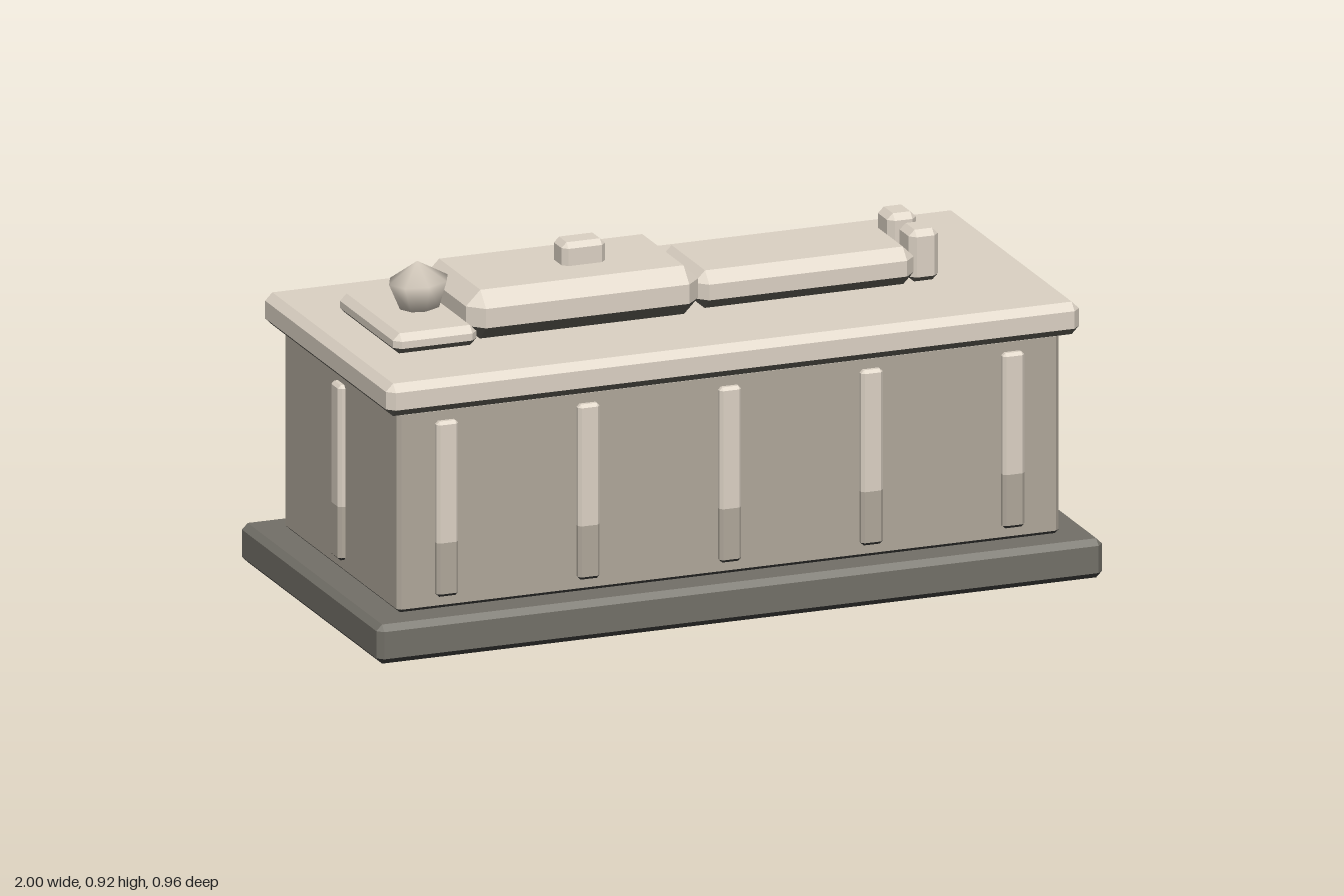
import * as THREE from 'three';
import { ConvexGeometry } from 'three/addons/geometries/ConvexGeometry.js';

const paleStone = new THREE.MeshStandardMaterial({ name: 'paleStone', color: 0xdcd2c4 });
const wallStone = new THREE.MeshStandardMaterial({ name: 'wallStone', color: 0xb0a89b });
const darkStone = new THREE.MeshStandardMaterial({ name: 'darkStone', color: 0x737068 });
const undersideStone = new THREE.MeshStandardMaterial({ name: 'undersideStone', color: 0x66645c });
const groundStone = new THREE.MeshStandardMaterial({ name: 'groundStone', color: 0x434341 });

// Box with chamfered edges, given as [min, max] per axis; either y end may stay square.
// Faces that point down take the second material.
function chamferBox(name, materials, [x0, x1], [y0, y1], [z0, z1], b, topCut = true, bottomCut = true) {
  const points = [];
  for (const [x, sx] of [[x0, 1], [x1, -1]]) {
    for (const [z, sz] of [[z0, 1], [z1, -1]]) {
      for (const [y, sy, cut] of [[y0, 1, bottomCut], [y1, -1, topCut]]) {
        const ySide = cut ? y + sy * b : y;
        points.push(new THREE.Vector3(x, ySide, z + sz * b));
        points.push(new THREE.Vector3(x + sx * b, ySide, z));
        if (cut) points.push(new THREE.Vector3(x + sx * b, y, z + sz * b));
      }
    }
  }
  const geometry = new ConvexGeometry(points);
  const normal = geometry.attributes.normal;
  for (let i = 0; i < normal.count; i += 3) geometry.addGroup(i, 3, normal.getY(i) < -0.3 ? 1 : 0);
  const mesh = new THREE.Mesh(geometry, materials);
  mesh.name = name;
  return mesh;
}

const pale = [paleStone, undersideStone];
const wall = [wallStone, groundStone];
const dark = [darkStone, groundStone];

// Upright rib, pale above and wall-coloured near the foot
function createPilaster(xr, zr) {
  const pilaster = new THREE.Group();
  pilaster.name = 'pilaster';
  pilaster.add(
    chamferBox('pilasterUpper', pale, xr, [0.285, 0.61], zr, 0.008, true, false),
    chamferBox('pilasterLower', wall, xr, [0.14, 0.285], zr, 0.008, false, true)
  );
  return pilaster;
}

// Faceted head with rounded shading, slightly tilted
function createHead() {
  const profile = [[0, -0.075], [0.055, -0.055], [0.081, 0.016], [0, 0.067]];
  const geometry = new THREE.LatheGeometry(profile.map(([r, y]) => new THREE.Vector2(r, y)), 8);
  geometry.setAttribute('normal', geometry.attributes.position.clone());
  geometry.normalizeNormals();
  const head = new THREE.Mesh(geometry, paleStone);
  head.name = 'head';
  head.scale.z = 0.9;
  head.rotation.z = 0.06;
  head.position.set(-0.698, 0.845, 0);
  return head;
}

// Reclining figure on the lid
function createEffigy() {
  const effigy = new THREE.Group();
  effigy.name = 'effigy';
  effigy.add(
    chamferBox('pillow', pale, [-0.842, -0.612], [0.73, 0.785], [-0.2, 0.2], 0.018),
    chamferBox('torso', pale, [-0.625, 0.015], [0.73, 0.862], [-0.182, 0.182], 0.04),
    chamferBox('legs', pale, [0.015, 0.62], [0.73, 0.832], [-0.145, 0.145], 0.03),
    chamferBox('hands', pale, [-0.315, -0.195], [0.84, 0.922], [-0.04, 0.04], 0.014),
    createHead()
  );
  for (const s of [-1, 1]) {
    effigy.add(chamferBox('foot', pale, [0.61, 0.69], [0.73, 0.87], [s * 0.075 - 0.047, s * 0.075 + 0.047], 0.016));
  }
  return effigy;
}

export function createModel() {
  const tomb = new THREE.Group();
  tomb.name = 'tomb';
  tomb.add(
    chamferBox('plinth', dark, [-1, 1], [0, 0.105], [-0.479, 0.479], 0.016),
    chamferBox('chest', wall, [-0.912, 0.912], [0.104, 0.646], [-0.392, 0.392], 0.01),
    chamferBox('lid', pale, [-0.955, 0.955], [0.645, 0.732], [-0.436, 0.436], 0.02),
    createEffigy()
  );

  // Five ribs along each long wall, one on each end
  for (const s of [-1, 1]) {
    for (let i = -2; i <= 2; i++) {
      const x = i * 0.39;
      tomb.add(createPilaster([x - 0.03, x + 0.03], [s * 0.39 - 0.02, s * 0.39 + 0.02]));
    }
    tomb.add(createPilaster([s * 0.91 - 0.02, s * 0.91 + 0.02], [-0.03, 0.03]));
  }
  return tomb;
}
